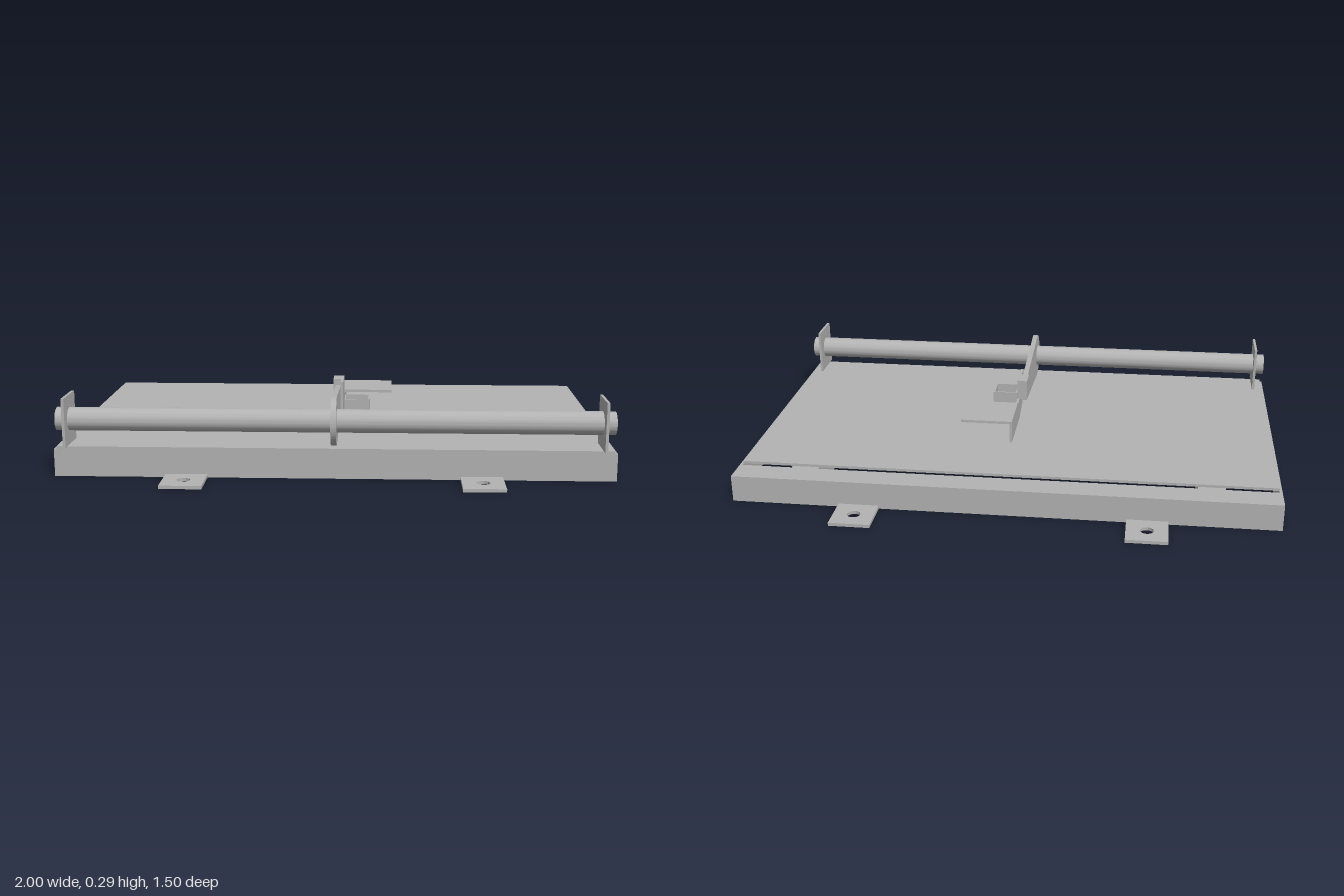
import * as THREE from 'three';
import { toCreasedNormals } from 'three/addons/utils/BufferGeometryUtils.js';

const steel = new THREE.MeshStandardMaterial({ color: 0xb3b3b3 });
steel.name = 'steel grey';

export function createModel() {
  const model = new THREE.Group();
  model.name = 'pedalFrame';

  const add = (name, geometry) => {
    const mesh = new THREE.Mesh(geometry, steel);
    mesh.name = name;
    model.add(mesh);
    return mesh;
  };

  // Box given by its limits
  const box = (name, x0, x1, y0, y1, z0, z1) => {
    const g = new THREE.BoxGeometry(x1 - x0, y1 - y0, z1 - z0);
    g.translate((x0 + x1) / 2, (y0 + y1) / 2, (z0 + z1) / 2);
    return add(name, g);
  };

  const rect = (x0, x1, y0, y1, Kind = THREE.Shape) => new Kind(
    [[x0, y0], [x1, y0], [x1, y1], [x0, y1]].map(p => new THREE.Vector2(...p)));
  const circle = (x, y, r, Kind = THREE.Path) => new Kind().absarc(x, y, r, 0, Math.PI * 2);

  const extrude = (shape, depth) => toCreasedNormals(
    new THREE.ExtrudeGeometry(shape, { depth, bevelEnabled: false, curveSegments: 24 }), 0.6);

  // Side profile (-z, y) extruded from x0 to x1
  const alongX = (name, shape, x0, x1) =>
    add(name, extrude(shape, x1 - x0).rotateY(Math.PI / 2).translate(x0, 0, 0));
  // Plan profile (x, -z) extruded from y0 to y1
  const alongY = (name, shape, y0, y1) =>
    add(name, extrude(shape, y1 - y0).rotateX(-Math.PI / 2).translate(0, y0, 0));

  // Hollow front and back rails
  for (const [name, s] of [['frontRail', -0.55], ['backRail', 0.55]]) {
    const section = rect(s - 0.05, s + 0.05, 0, 0.1);
    section.holes.push(rect(s - 0.04, s + 0.04, 0.01, 0.09, THREE.Path));
    alongX(name, section, -0.99, 0.99);
  }

  // Drilled side plates, cross members and end brackets for the shaft
  const axisY = 0.2, axisZ = 0.55, shaftR = 0.042;
  for (const side of [-1, 1]) {
    const label = side > 0 ? 'left' : 'right';
    const plate = rect(-0.6, 0.6, 0, 0.1);
    for (const z of [0.4, 0.05, -0.3, -0.55]) plate.holes.push(circle(-z, 0.05, 0.016));
    const px = side * 0.995;
    alongX(label + 'SidePlate', plate, px - 0.005, px + 0.005);

    const cx = side * 0.75;
    box(label + 'CrossMember', cx - 0.05, cx + 0.05, 0, 0.1, -0.5, 0.5);

    const bracket = rect(-0.625, -0.475, 0.11, 0.288);
    bracket.holes.push(circle(-axisZ, axisY, shaftR));
    const bx = side * 0.955;
    alongX(label + 'ShaftBracket', bracket, bx - 0.005, bx + 0.005);

    // Mounting tabs at the front and back
    for (const end of [-1, 1]) {
      const tx = side * 0.525, ts = end * 0.675;
      const tab = rect(tx - 0.075, tx + 0.075, ts - 0.075, ts + 0.075);
      tab.holes.push(circle(tx, ts, 0.024));
      alongY(label + (end > 0 ? 'Back' : 'Front') + 'MountingTab', tab, 0, 0.012);
    }
  }

  // Deck plate
  box('deckPlate', -0.99, 0.99, 0.1, 0.11, -0.487, 0.6);

  // Hollow shaft
  const shaft = circle(-axisZ, axisY, shaftR, THREE.Shape);
  shaft.holes.push(circle(-axisZ, axisY, 0.036));
  alongX('shaft', shaft, -0.995, 0.995);

  // Tapered lever arm with a round end
  const lever = new THREE.Shape();
  const a = 1.48, r = 0.088;
  lever.moveTo(-0.13, 0.155);
  lever.lineTo(-0.13, 0.245);
  lever.absarc(-axisZ, axisY, r, a, Math.PI * 2 - a, false);
  lever.closePath();
  lever.holes.push(circle(-axisZ, axisY, shaftR));
  alongX('leverArm', lever, -0.01, 0.01);

  // Stepped web under the pedal, and the clip joining it to the lever
  const web = new THREE.Shape([
    [-0.19, 0.2], [-0.055, 0.11], [0.2, 0.11], [0.2, 0.19],
    [-0.055, 0.19], [-0.055, 0.268], [-0.19, 0.268],
  ].map((p, i) => new THREE.Vector2(p[0], i === 0 ? 0.15 : p[1])));
  alongX('pedalWeb', web, 0.01, 0.02);
  box('leverClip', -0.02, 0.012, 0.19, 0.268, 0.052, 0.127);

  // Pedal
  box('pedal', 0.01, 0.208, 0.188, 0.198, -0.205, -0.008);

  // Open square post
  const post = rect(0.025, 0.122, -0.19, -0.093);
  post.holes.push(rect(0.031, 0.116, -0.184, -0.099, THREE.Path));
  alongY('squarePost', post, 0.11, 0.2);

  return model;
}
